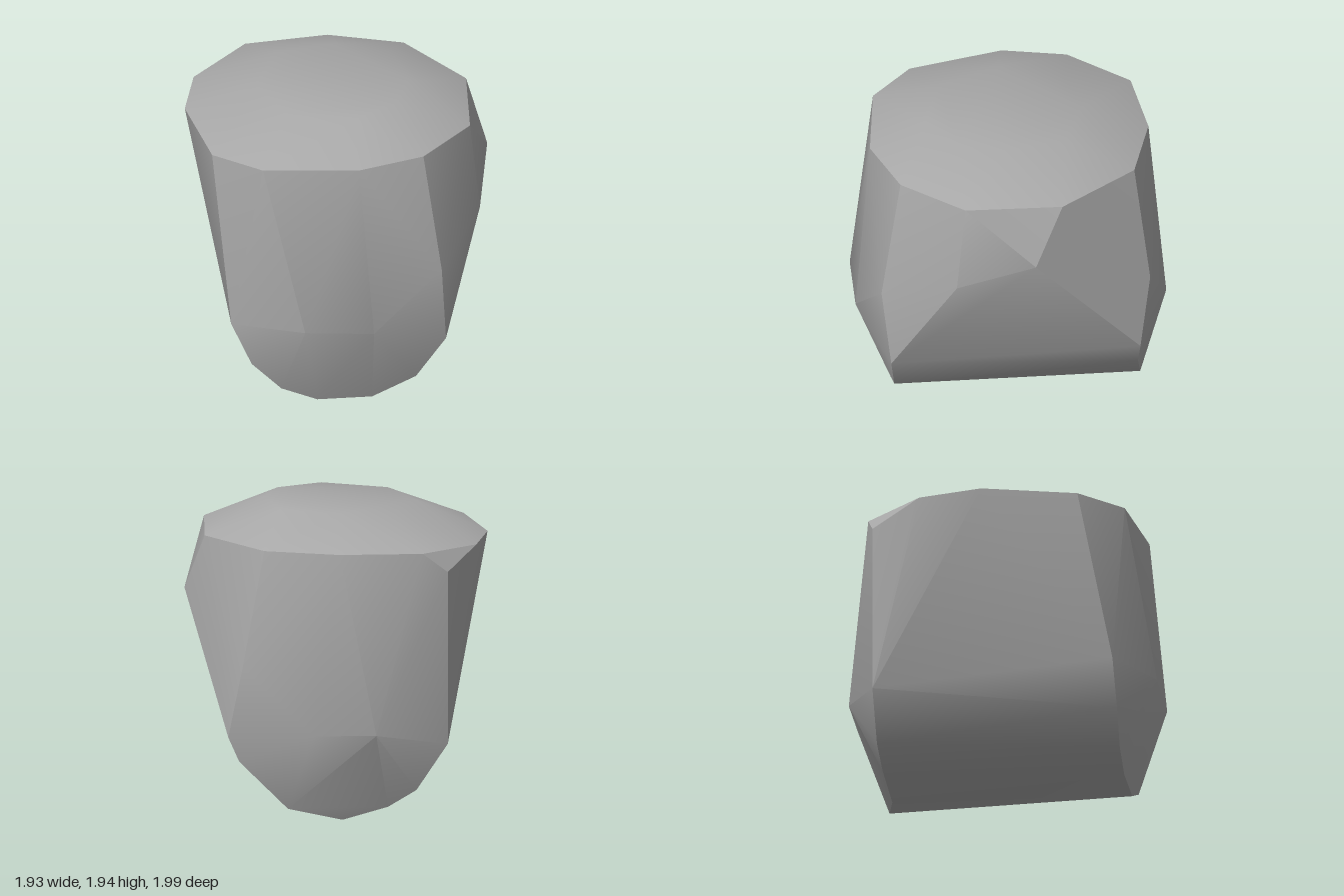
import * as THREE from 'three';
import { ConvexGeometry } from 'three/addons/geometries/ConvexGeometry.js';
import { toCreasedNormals } from 'three/addons/utils/BufferGeometryUtils.js';

// Shallow domed cap: inner ring of the crown
const crown = [
  [-0.52, 1.92, 0.02], [-0.34, 1.92, 0.42], [0.08, 1.93, 0.53], [0.36, 1.94, 0.34],
  [0.45, 1.945, 0.06], [0.36, 1.94, -0.34], [0.0, 1.935, -0.47], [-0.36, 1.92, -0.4],
];

// Hard rim between the cap and the walls
const rim = [
  [-0.97, 1.73, -0.04], [-0.83, 1.72, 0.56], [-0.52, 1.74, 0.82], [0.09, 1.76, 0.89],
  [0.51, 1.76, 0.73], [0.83, 1.76, 0.34], [0.84, 1.76, -0.28], [0.47, 1.76, -0.77],
  [-0.01, 1.76, -0.9], [-0.36, 1.75, -0.84], [-0.54, 1.75, -0.83], [-0.89, 1.73, -0.45],
];

// Corners where the side walls bulge
const walls = [
  [0.965, 1.385, -0.1], [0.89, 1.2, 0.4], [0.62, 1.0, 0.86], [0.18, 0.62, 0.99],
  [-0.26, 0.64, 0.99], [-0.72, 0.6, 0.77], [-0.7, 1.62, -0.78], [-0.24, 0.6, -1],
  [0.16, 0.6, -1], [0.61, 1.02, -0.86],
];

// Rounded keel: front and back end profiles of the underside
const keelFront = [
  [-0.59, 0.31, 0.78], [-0.4, 0.12, 0.77], [-0.17, 0.03, 0.765],
  [0.18, 0.04, 0.765], [0.46, 0.18, 0.765], [0.65, 0.47, 0.8],
];
const keelBack = [
  [-0.7, 0.5, -0.78], [-0.5, 0.2, -0.78], [-0.32, 0.09, -0.77], [-0.03, 0.002, -0.75],
  [0.32, 0.09, -0.82], [0.63, 0.39, -0.78], [0.7, 0.55, -0.79],
];

export function createModel() {
  const group = new THREE.Group();
  group.name = 'stone';
  const grey = new THREE.MeshStandardMaterial({ color: 0xa8a8a8 });
  grey.name = 'stone grey';

  const points = [...crown, ...rim, ...walls, ...keelFront, ...keelBack]
    .map((p) => new THREE.Vector3(...p));
  // Soft shading over gentle bends, sharp at the rim and corners
  const geometry = toCreasedNormals(new ConvexGeometry(points), 0.5);
  const body = new THREE.Mesh(geometry, grey);
  body.name = 'stoneBody';
  group.add(body);
  return group;
}
